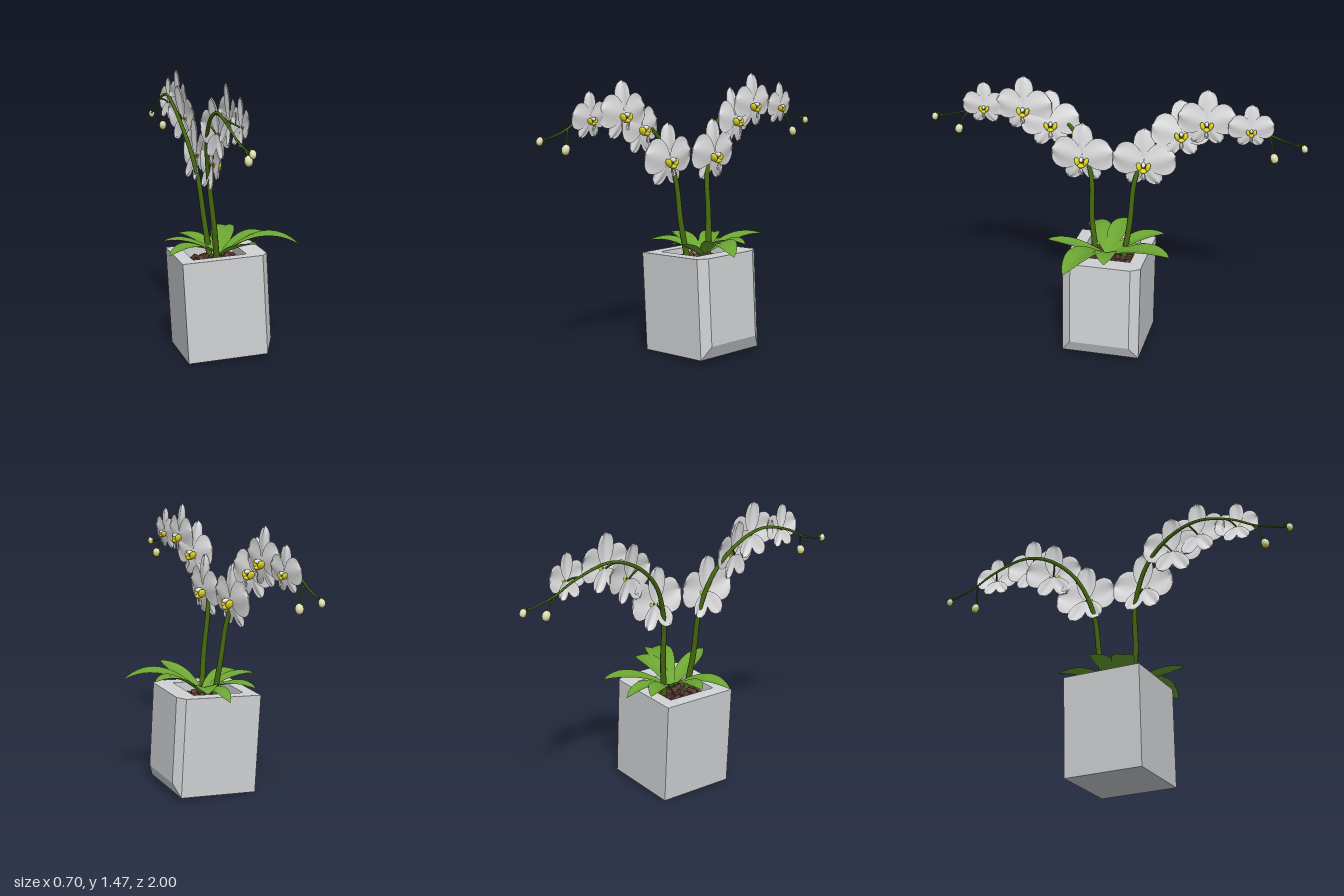
import * as THREE from 'three';

const mat = (name, color, side = THREE.FrontSide) => {
  const m = new THREE.MeshStandardMaterial({ color, side });
  m.name = name;
  return m;
};
const V = (x, y, z) => new THREE.Vector3(x, y, z);

export function createModel() {
  const potGrey = mat('pot grey', 0xd0d2d4);
  const soilBrown = mat('soil brown', 0x5a3b32);
  const leafGreen = mat('leaf green', 0x6ca632, THREE.DoubleSide);
  const stemGreen = mat('stem green', 0x46690f);
  const petalWhite = mat('petal white', 0xeeeef0, THREE.DoubleSide);
  const lipYellow = mat('lip yellow', 0xdcd422);
  const throatBrown = mat('throat brown', 0x6e4a1c);
  const budCream = mat('bud cream', 0xe2e2b4);

  const model = new THREE.Group();
  model.name = 'pottedOrchid';
  const add = (parent, name, geo, material, pos) => {
    const mesh = new THREE.Mesh(geo, material);
    mesh.name = name;
    if (pos) mesh.position.copy(pos);
    parent.add(mesh);
    return mesh;
  };

  // Curved sheet: fn(u in -1..1, t in 0..1) returns a point
  const sheet = (fn, nu = 8, nt = 12) => {
    const geo = new THREE.PlaneGeometry(2, 1, nu, nt);
    const p = geo.attributes.position;
    for (let i = 0; i < p.count; i++) {
      const v = fn(p.getX(i), p.getY(i) + 0.5);
      p.setXYZ(i, v.x, v.y, v.z);
    }
    geo.computeVertexNormals();
    return geo;
  };

  // Tube whose radius runs from r0 to r1
  const taperTube = (curve, r0, r1, seg, sides) => {
    const geo = new THREE.TubeGeometry(curve, seg, 1, sides);
    const p = geo.attributes.position;
    const v = V(0, 0, 0);
    for (let i = 0; i < p.count; i++) {
      const t = Math.floor(i / (sides + 1)) / seg;
      const c = curve.getPointAt(t);
      v.fromBufferAttribute(p, i).sub(c).multiplyScalar(r0 + (r1 - r0) * t).add(c);
      p.setXYZ(i, v.x, v.y, v.z);
    }
    return geo;
  };

  // Pot, slightly leaning
  const W = 0.425, D = 0.42, H = 0.532, RIM = 0.07;
  const pot = new THREE.Group();
  pot.name = 'pot';
  pot.position.set(-0.055, 0.013, -0.003);
  pot.rotation.set(0, 0.055, 0.055);
  model.add(pot);

  const rect = (target, w, d) => {
    target.moveTo(-w / 2, -d / 2);
    target.lineTo(w / 2, -d / 2);
    target.lineTo(w / 2, d / 2);
    target.lineTo(-w / 2, d / 2);
    target.closePath();
    return target;
  };
  const wall = rect(new THREE.Shape(), W, D);
  wall.holes.push(rect(new THREE.Path(), W - 2 * RIM, D - 2 * RIM));
  const wallGeo = new THREE.ExtrudeGeometry(wall, { depth: H, bevelEnabled: false });
  wallGeo.rotateX(-Math.PI / 2);
  add(pot, 'potWalls', wallGeo, potGrey);
  add(pot, 'potBase', new THREE.BoxGeometry(W - 2 * RIM, 0.04, D - 2 * RIM), potGrey, V(0, 0.02, 0));

  // Raised panel with sloping sides and bottom on the +x face
  const panelGeo = new THREE.BoxGeometry(0.035, H, D).toNonIndexed();
  const pp = panelGeo.attributes.position;
  for (let i = 0; i < pp.count; i++) {
    if (pp.getX(i) < 0) continue;
    pp.setZ(i, pp.getZ(i) * 0.77);
    if (pp.getY(i) < 0) pp.setY(i, pp.getY(i) + 0.07);
  }
  panelGeo.computeVertexNormals();
  add(pot, 'potPanel', panelGeo, potGrey, V(W / 2 + 0.0175, H / 2, 0));

  // Soil with bark chips
  add(pot, 'soil', new THREE.BoxGeometry(W - 2 * RIM, 0.44, D - 2 * RIM), soilBrown, V(0, 0.26, 0));
  for (let i = 0; i < 22; i++) {
    const a = i * 2.4, r = 0.025 * Math.sqrt(i);
    const chip = add(pot, 'barkChip', new THREE.BoxGeometry(0.05, 0.025, 0.03), soilBrown,
      V(r * Math.cos(a), 0.488 + 0.012 * Math.sin(i * 5), r * Math.sin(a)));
    chip.rotation.set(Math.sin(i) * 0.6, a * 1.7, Math.cos(i * 3) * 0.6);
  }

  // Leaves: tip x, y, z, half width, arch height
  const leaves = [
    [0.35, 0.59, 0.13, 0.062, 0.70], [0.23, 0.615, -0.055, 0.05, 0.66],
    [0.05, 0.61, -0.36, 0.055, 0.64], [0.08, 0.64, 0.30, 0.045, 0.61],
    [-0.345, 0.565, 0.165, 0.052, 0.64], [-0.35, 0.605, -0.02, 0.045, 0.63],
    [-0.25, 0.59, -0.265, 0.045, 0.63], [-0.09, 0.54, -0.31, 0.04, 0.62],
  ];
  for (const [x, y, z, w, arch] of leaves) {
    const base = V(-0.05, 0.52, 0), tip = V(x, y, z);
    const mid = base.clone().lerp(tip, 0.55).setY(arch);
    const spine = new THREE.QuadraticBezierCurve3(base, mid, tip);
    const side = V(z, 0, -(x + 0.05)).normalize();
    add(model, 'leaf', sheet((u, t) => {
      const half = w * (0.22 * (1 - t) + 1.05 * Math.pow(Math.sin(Math.PI * Math.pow(t, 1.15)), 0.75));
      const v = spine.getPoint(t).addScaledVector(side, u * half);
      v.y += 0.25 * half * Math.abs(u);
      return v;
    }, 6, 14), leafGreen);
  }

  // Petal in the XY plane, rising from the origin, facing +z
  const petalGeo = (len, half, cup, curl) => sheet((u, t) => {
    const prof = Math.pow(t, 0.75) * Math.pow(Math.max(0, 1 - t), 0.5) / 0.487;
    const k = 0.06 * (1 - t) + prof;
    return V(u * half * k, len * t,
      cup * u * u * k * half - curl * len * t * t + 0.006 * Math.cos(u * 5) * t);
  });
  const sepal = petalGeo(0.2, 0.062, -0.12, 0.12);
  const lowerSepal = petalGeo(0.145, 0.05, -0.12, 0.1);
  const petal = petalGeo(0.172, 0.105, -0.1, 0.1);
  const tongue = petalGeo(0.045, 0.014, 0.5, -0.5);
  const ball = new THREE.SphereGeometry(1, 12, 8);

  const flower = (pos, size, yaw, pitch) => {
    const f = new THREE.Group();
    f.name = 'flower';
    f.position.copy(pos);
    f.rotation.set(pitch, Math.PI / 2 + yaw, 0, 'YXZ');
    f.scale.setScalar(size);
    add(f, 'topSepal', sepal, petalWhite);
    for (const s of [-1, 1]) {
      add(f, 'lowerSepal', lowerSepal, petalWhite).rotation.z = s * 2.55;
      add(f, 'sidePetal', petal, petalWhite, V(0, 0.005, 0.01)).rotation.z = s * 1.3;
      const lobe = add(f, 'lipLobe', ball, lipYellow, V(s * 0.024, -0.004, 0.026));
      lobe.scale.set(0.013, 0.024, 0.022);
      lobe.rotation.z = s * -0.3;
    }
    add(f, 'lipFloor', ball, lipYellow, V(0, -0.022, 0.03)).scale.set(0.022, 0.012, 0.026);
    add(f, 'throat', ball, throatBrown, V(0, -0.004, 0.018)).scale.set(0.016, 0.016, 0.014);
    add(f, 'column', ball, petalWhite, V(0, 0.012, 0.032)).scale.set(0.011, 0.013, 0.022);
    const tip = add(f, 'lipTongue', tongue, petalWhite, V(0, -0.024, 0.045));
    tip.rotation.set(0.6, 0, Math.PI);
    model.add(f);
  };

  // Flowers: centre x, y, z, size, yaw, pitch.  Buds: x, y, z, radius
  const sprays = [
    {
      path: [[-0.075, 0.46, 0.07], [-0.1, 0.7, 0.105], [-0.13, 0.95, 0.12], [-0.155, 1.15, 0.2],
        [-0.165, 1.28, 0.34], [-0.16, 1.335, 0.5], [-0.148, 1.3, 0.68], [-0.125, 1.235, 0.82], [-0.1, 1.2, 0.96]],
      flowers: [[-0.125, 1.035, 0.165, 1, 0.1, 0.08], [-0.13, 1.21, 0.34, 0.92, 0.3, -0.05],
        [-0.1, 1.29, 0.475, 0.9, 0.08, 0.05], [-0.085, 1.285, 0.69, 0.7, 0.15, 0.1]],
      buds: [[-0.092, 1.2, 0.98, 0.017], [-0.08, 1.15, 0.84, 0.021]],
    },
    {
      path: [[-0.085, 0.46, -0.07], [-0.115, 0.7, -0.1], [-0.15, 0.95, -0.12], [-0.2, 1.15, -0.2],
        [-0.235, 1.28, -0.34], [-0.25, 1.33, -0.5], [-0.262, 1.28, -0.7], [-0.266, 1.22, -0.82], [-0.268, 1.18, -0.96]],
      flowers: [[-0.15, 1.035, -0.165, 1, 0.15, 0.08], [-0.185, 1.21, -0.35, 0.92, 0.3, -0.05],
        [-0.185, 1.285, -0.485, 0.9, 0.15, 0.05], [-0.205, 1.265, -0.71, 0.7, 0.25, 0.1]],
      buds: [[-0.266, 1.172, -0.98, 0.017], [-0.222, 1.12, -0.835, 0.021]],
    },
  ];
  for (const { path, flowers, buds } of sprays) {
    const curve = new THREE.CatmullRomCurve3(path.map((p) => V(...p)));
    add(model, 'stem', taperTube(curve, 0.017, 0.004, 60, 8), stemGreen);
    const samples = curve.getPoints(60);
    // Small stalk from the stem, leaving a little before the flower
    const stalk = (end) => {
      const z = Math.abs(end.z) - 0.04;
      const start = samples.reduce((a, b) =>
        Math.abs(Math.abs(b.z) - z) + (b.y < 0.95 ? 1 : 0) < Math.abs(Math.abs(a.z) - z) + (a.y < 0.95 ? 1 : 0) ? b : a);
      const mid = start.clone().lerp(end, 0.5);
      mid.y += 0.012;
      add(model, 'stalk', taperTube(new THREE.QuadraticBezierCurve3(start, mid, end), 0.005, 0.004, 8, 6), stemGreen);
    };
    for (const [x, y, z, size, yaw, pitch] of flowers) {
      flower(V(x, y, z), size, yaw, pitch);
      stalk(V(x - 0.004, y, z));
    }
    for (const [x, y, z, r] of buds) {
      const b = add(model, 'bud', ball, budCream, V(x, y, z));
      b.scale.set(r, r * 1.25, r);
      b.rotation.x = Math.sign(z) * -0.4;
      add(model, 'budTip', ball, lipYellow, V(x, y - r * 0.45, z)).scale.set(r * 0.86, r * 0.84, r * 0.86);
      stalk(V(x, y + r, z - Math.sign(z) * r * 0.3));
    }
  }
  return model;
}
